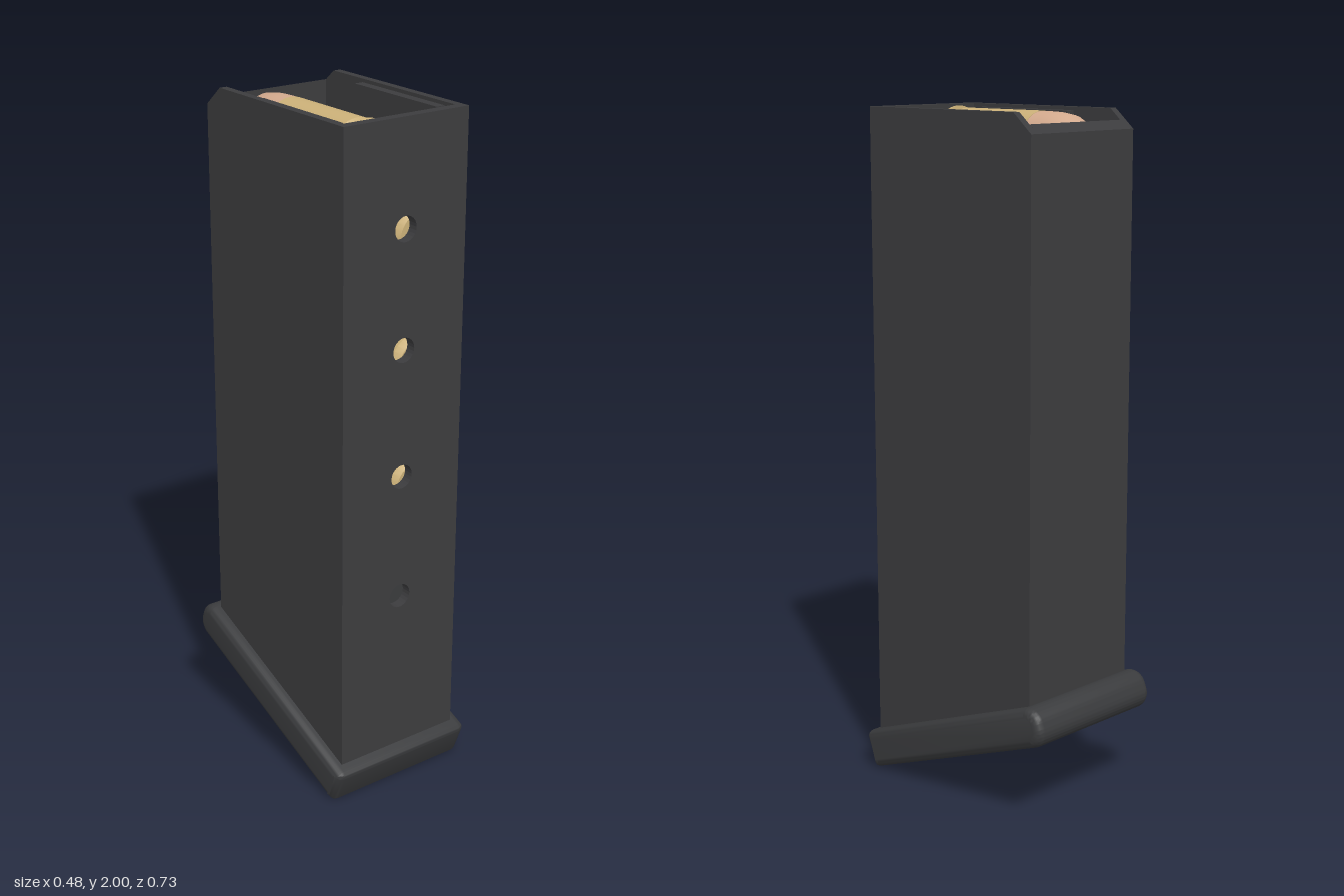
import * as THREE from 'three';
import { toCreasedNormals } from 'three/addons/utils/BufferGeometryUtils.js';

const mat = (color) => new THREE.MeshStandardMaterial({ color });
const vecs = (pts) => pts.map(([a, b]) => new THREE.Vector2(a, b));

function add(parent, name, geometry, material, x = 0, y = 0, z = 0) {
  const mesh = new THREE.Mesh(geometry, material);
  mesh.name = name;
  mesh.position.set(x, y, z);
  parent.add(mesh);
  return mesh;
}

// Extrude a (z, y) side profile along x, centred on x = 0
function sideExtrude(shape, width, bevel = 0) {
  const depth = width - 2 * bevel;
  const g = new THREE.ExtrudeGeometry(shape, {
    depth, bevelEnabled: bevel > 0, bevelSize: bevel, bevelThickness: bevel,
    bevelOffset: -bevel, bevelSegments: 5, curveSegments: 12,
  });
  return g.translate(0, 0, -depth / 2).rotateY(-Math.PI / 2);
}

// Lathe a (radius, z) profile, listed from rear to nose, around the z axis
function latheZ(profile) {
  const g = new THREE.LatheGeometry(vecs(profile.map(([r, z]) => [r, -z])), 32);
  return toCreasedNormals(g.rotateX(-Math.PI / 2), 0.6);
}

export function createModel() {
  const model = new THREE.Group();
  model.name = 'magazine';
  const steel = mat(0x3c3c3e), polymer = mat(0x3a3b3d);
  const brass = mat(0xcbb078), copper = mat(0xd2a98d);

  // Side walls with the clipped rear corner and slanted foot
  const sideShape = new THREE.Shape(vecs([
    [0.342, 2], [-0.225, 2], [-0.29, 1.945], [-0.29, 0.33], [0.342, 0.09],
  ]));
  const sideGeo = sideExtrude(sideShape, 0.023);
  const lipGeo = new THREE.BoxGeometry(0.028, 0.05, 0.358);
  for (const s of [-1, 1]) {
    add(model, 'sideWall', sideGeo, steel, s * 0.1935);
    add(model, 'feedLip', lipGeo, steel, s * 0.168, 1.965, 0.091);
  }

  // Rear wall
  const rearShape = new THREE.Shape(vecs([
    [-0.262, 1.969], [-0.29, 1.945], [-0.29, 0.33], [-0.262, 0.32],
  ]));
  add(model, 'rearWall', sideExtrude(rearShape, 0.364), steel);

  // Front wall with the row of witness holes
  const front = new THREE.Shape(vecs([[-0.182, 0.09], [0.182, 0.09], [0.182, 2], [-0.182, 2]]));
  for (const y of [1.7, 1.36, 0.985, 0.61]) {
    front.holes.push(new THREE.Path().absarc(0, y, 0.036, 0, Math.PI * 2, true));
  }
  const frontGeo = new THREE.ExtrudeGeometry(front, { depth: 0.03, bevelEnabled: false, curveSegments: 12 });
  add(model, 'frontWall', frontGeo, steel, 0, 0, 0.312);

  // Follower under the stack
  add(model, 'follower', new THREE.BoxGeometry(0.36, 0.18, 0.57), polymer, 0, 0.57, 0.025);

  // Tilted base plate, fully rounded at the rear
  const h = 0.0575, l = 0.382, r = 0.05;
  const plate = new THREE.Shape();
  plate.moveTo(l - 0.015, -h);
  plate.quadraticCurveTo(l, -h, l, -h + 0.015);
  plate.lineTo(l, h - 0.02);
  plate.quadraticCurveTo(l, h, l - 0.02, h);
  plate.lineTo(-l + r, h);
  plate.absarc(-l + r, h - r, r, Math.PI / 2, Math.PI, false);
  plate.absarc(-l + r, -h + r, r, Math.PI, Math.PI * 1.5, false);
  const plateGeo = toCreasedNormals(sideExtrude(plate, 0.48, 0.025), 0.7);
  add(model, 'basePlate', plateGeo, polymer, 0, 0.187, 0).rotation.x = THREE.MathUtils.degToRad(21);

  // Two staggered columns of cartridges
  const caseGeo = latheZ([
    [0, 0.305], [0.078, 0.305], [0.091, 0.285], [0.091, 0.279], [0.078, 0.277],
    [0.078, 0.254], [0.086, 0.246], [0.086, -0.053], [0.08, -0.053],
  ]);
  const bulletGeo = latheZ([
    [0.085, -0.053], [0.085, -0.09], [0.084, -0.12], [0.077, -0.168],
    [0.055, -0.215], [0.022, -0.245], [0, -0.253],
  ]);
  for (let row = 0; row < 7; row++) {
    for (const s of [-1, 1]) {
      const cartridge = new THREE.Group();
      cartridge.name = 'cartridge';
      cartridge.position.set(s * 0.089, 1.905 - row * 0.183 - (s > 0 ? 0.07 : 0), 0);
      add(cartridge, 'case', caseGeo, brass);
      add(cartridge, 'bullet', bulletGeo, copper);
      model.add(cartridge);
    }
  }
  return model;
}
